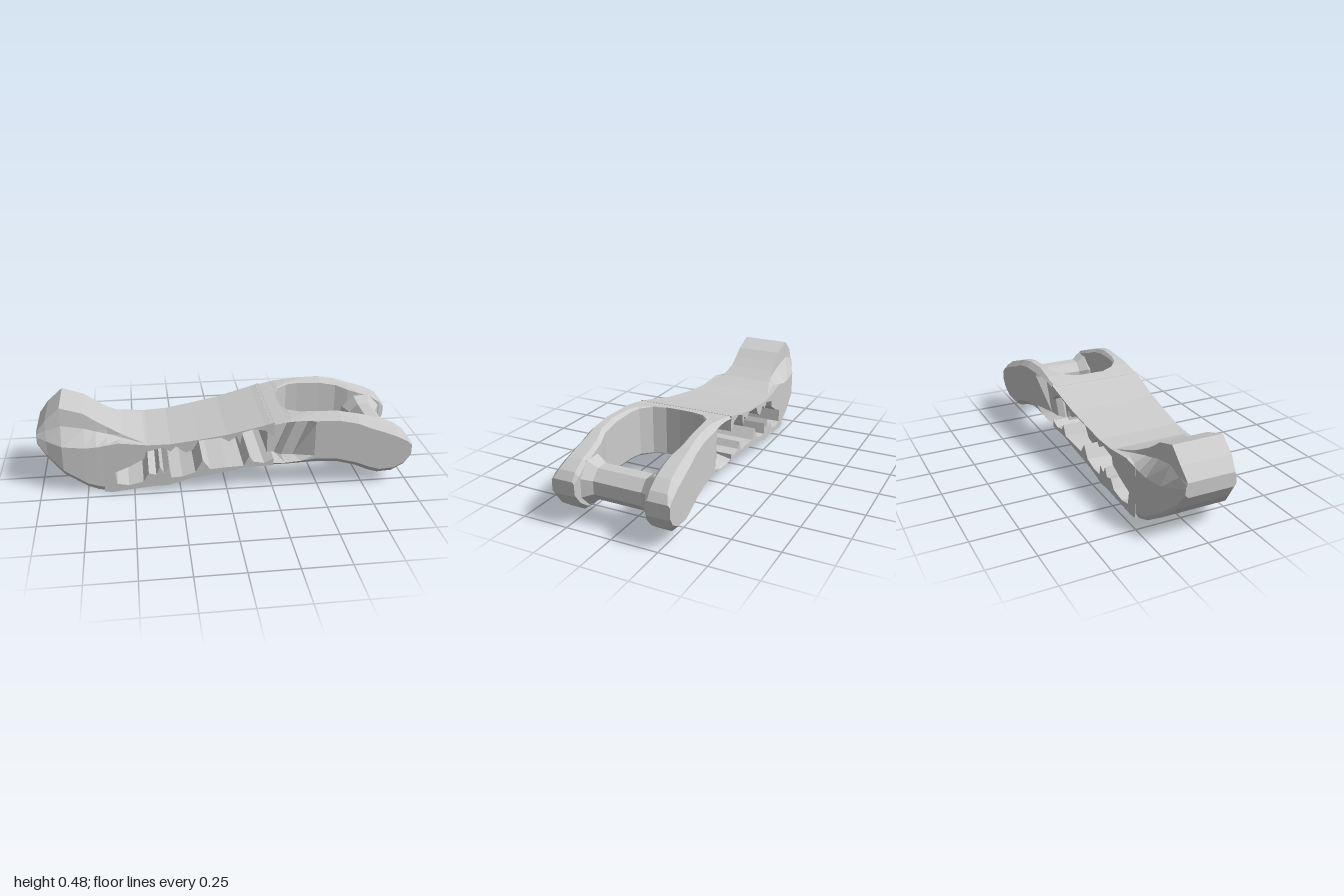
import * as THREE from 'three';

const material = new THREE.MeshStandardMaterial({ color: 0xcccccc, flatShading: true, side: THREE.DoubleSide });

// Half width of the tapering lever at x
const halfWidth = (x) => 0.25 + 0.066 * x;

// Skin a series of closed rings of [x, y, z]; cap(p) projects a ring to 2D for its end caps
function loft(rings, cap) {
  const n = rings[0].length;
  const pts = rings.flat();
  let tris = [];
  for (let i = 0; i < rings.length - 1; i++) {
    for (let j = 0; j < n; j++) {
      const a = i * n + j, b = i * n + (j + 1) % n;
      tris.push([a, b, b + n], [a, b + n, a + n]);
    }
  }
  // Outward winding from the sign of the side wall around the ring
  const area = (r) => THREE.ShapeUtils.area(r.map(cap));
  const ccw = area(rings[1]) > 0;
  const face = (r, base, up) => {
    const contour = r.map(cap);
    for (const t of THREE.ShapeUtils.triangulateShape(contour, [])) {
      const s = THREE.ShapeUtils.area(t.map((k) => contour[k])) > 0;
      const f = t.map((k) => k + base);
      tris.push(s === up ? f : f.reverse());
    }
  };
  if (!ccw) tris = tris.map((t) => t.reverse());
  face(rings[0], 0, false);
  face(rings[rings.length - 1], (rings.length - 1) * n, true);
  const g = new THREE.BufferGeometry();
  g.setAttribute('position', new THREE.Float32BufferAttribute(pts.flat(), 3));
  g.setIndex(tris.flat());
  const flat = g.toNonIndexed();
  flat.computeVertexNormals();
  return flat;
}
const alongX = (p) => new THREE.Vector2(p[1], p[2]);
const alongZ = (p) => new THREE.Vector2(p[0], p[1]);

// Upper and lower decks with a ragged, eroded window running through the width
function decks() {
  const outline = [
    [-0.66, 0.005], [-0.62, 0.0], [-0.4, 0.03], [-0.31, 0.035], [-0.2, 0.072], [0, 0.108], [0.1, 0.13], [0.25, 0.14],
    // lower edge of the window with teeth
    [0.25, 0.18], [0.2, 0.155], [0.14, 0.165], [0.12, 0.2], [0.09, 0.14], [0, 0.135], [-0.09, 0.125],
    [-0.13, 0.18], [-0.17, 0.11], [-0.24, 0.085], [-0.3, 0.08], [-0.31, 0.14], [-0.34, 0.11],
    [-0.36, 0.15], [-0.38, 0.1], [-0.42, 0.11], [-0.45, 0.06], [-0.53, 0.04], [-0.59, 0.05],
    // upper edge of the window with teeth
    [-0.6, 0.12], [-0.52, 0.155], [-0.44, 0.2], [-0.43, 0.24], [-0.34, 0.265], [-0.3, 0.24], [-0.27, 0.27],
    [-0.22, 0.23], [-0.18, 0.25], [-0.15, 0.3], [-0.03, 0.315], [0.01, 0.29], [0.05, 0.32], [0.07, 0.27],
    [0.08, 0.34], [0.14, 0.36], [0.2, 0.35], [0.25, 0.31],
    // top surface
    [0.25, 0.395], [0.2, 0.38], [0.1, 0.355], [0, 0.33], [-0.15, 0.305], [-0.3, 0.283], [-0.42, 0.28], [-0.57, 0.295], [-0.66, 0.28],
  ];
  const shape = new THREE.Shape(outline.map(([x, y]) => new THREE.Vector2(x, y)));
  const g = new THREE.ExtrudeGeometry(shape, { depth: 2, bevelEnabled: false });
  g.translate(0, 0, -1);
  const p = g.attributes.position;
  for (let i = 0; i < p.count; i++) p.setZ(i, p.getZ(i) * halfWidth(p.getX(i)));
  g.computeVertexNormals();
  return g;
}

// Head ring: flat bottom, wide wings, sloped shoulders and a narrower top
const headRing = ([x, y0, yb, yw, y1, w, wt]) => {
  const half = [[x, y0, w - 0.015], [x, yb, w], [x, yw, w], [x, (yw + y1) / 2, wt + 0.005], [x, y1, wt]];
  return [...half, ...half.map(([a, b, c]) => [a, b, -c]).reverse()];
};

// Fork arm ring: x, bottom, top, inner z, inner chamfer, outer chamfer, pocket depth
const armRing = (side) => ([x, y0, y1, zi, ci, co, pocket]) => {
  const zo = halfWidth(x);
  const lean = pocket > 0 && x > 0.3 ? 0.04 : 0;
  return [
    [x, y0 + ci, zi], [x, y0, zi + ci], [x, y0, zo - co], [x, y0 + co, zo],
    [x - lean, y0 + co + 0.02, zo - pocket], [x + lean, y1 - co - 0.02, zo - pocket],
    [x, y1 - co, zo], [x, y1, zo - co], [x, y1, zi + ci], [x, y1 - ci, zi],
  ].map(([a, b, c]) => [a, b, c * side]);
};

export function createModel() {
  const model = new THREE.Group();
  const add = (name, geometry) => {
    const mesh = new THREE.Mesh(geometry, material);
    mesh.name = name;
    model.add(mesh);
  };

  add('decks', decks());

  // Raised head with side wings
  add('head', loft([
    [-1.0, 0.27, 0.285, 0.32, 0.345, 0.135, 0.125],
    [-0.95, 0.195, 0.215, 0.3, 0.41, 0.15, 0.135],
    [-0.87, 0.115, 0.14, 0.28, 0.48, 0.19, 0.135],
    [-0.75, 0.035, 0.06, 0.27, 0.44, 0.2, 0.13],
    [-0.69, 0.012, 0.04, 0.275, 0.395, 0.204, 0.13],
    [-0.62, 0.0, 0.03, 0.28, 0.35, 0.208, 0.13],
  ].map(headRing), alongX));

  // Ramp easing the head into the upper deck
  add('headRamp', loft([
    [-0.63, 0.2, 0.22, 0.28, 0.357, 0.207, 0.13],
    [-0.55, 0.21, 0.22, 0.285, 0.315, 0.212, 0.15],
    [-0.43, 0.25, 0.26, 0.275, 0.28, 0.22, 0.2],
  ].map(headRing), alongX));

  // Forked end: wall behind the opening, pocketed shoulders and rounded arms
  const arm = [
    [0.23, 0.14, 0.39, 0, 0, 0.012, 0.09],
    [0.31, 0.14, 0.405, 0, 0, 0.012, 0.1],
    [0.312, 0.14, 0.405, 0.08, 0.003, 0.012, 0.09],
    [0.34, 0.14, 0.412, 0.145, 0.005, 0.015, 0.06],
    [0.4, 0.142, 0.42, 0.19, 0.01, 0.02, 0.045],
    [0.47, 0.142, 0.427, 0.2, 0.015, 0.03, 0],
    [0.6, 0.138, 0.425, 0.205, 0.02, 0.03, 0],
    [0.7, 0.113, 0.405, 0.205, 0.02, 0.03, 0],
    [0.77, 0.08, 0.38, 0.185, 0.02, 0.035, 0],
    [0.83, 0.062, 0.36, 0.18, 0.02, 0.035, 0],
    [0.91, 0.07, 0.33, 0.18, 0.02, 0.035, 0],
    [0.97, 0.115, 0.29, 0.18, 0.02, 0.025, 0],
    [0.998, 0.175, 0.25, 0.19, 0.01, 0.01, 0],
  ];
  add('leftForkArm', loft(arm.map(armRing(1)), alongX));
  // Mirrored rings keep their own winding through the signed ring area
  add('rightForkArm', loft(arm.map(armRing(-1)), alongX));

  // Octagonal cross bar flaring into both arms
  const barRing = ([z, s]) => Array.from({ length: 8 }, (_, i) => {
    const a = (i + 0.5) * Math.PI / 4;
    return [0.852 + 0.084 * s * Math.cos(a), 0.207 + 0.09 * s * Math.sin(a), z];
  });
  add('crossBar', loft([[-0.2, 1.45], [-0.18, 1.4], [-0.13, 1], [0.13, 1], [0.18, 1.4], [0.2, 1.45]].map(barRing), alongZ));

  return model;
}
